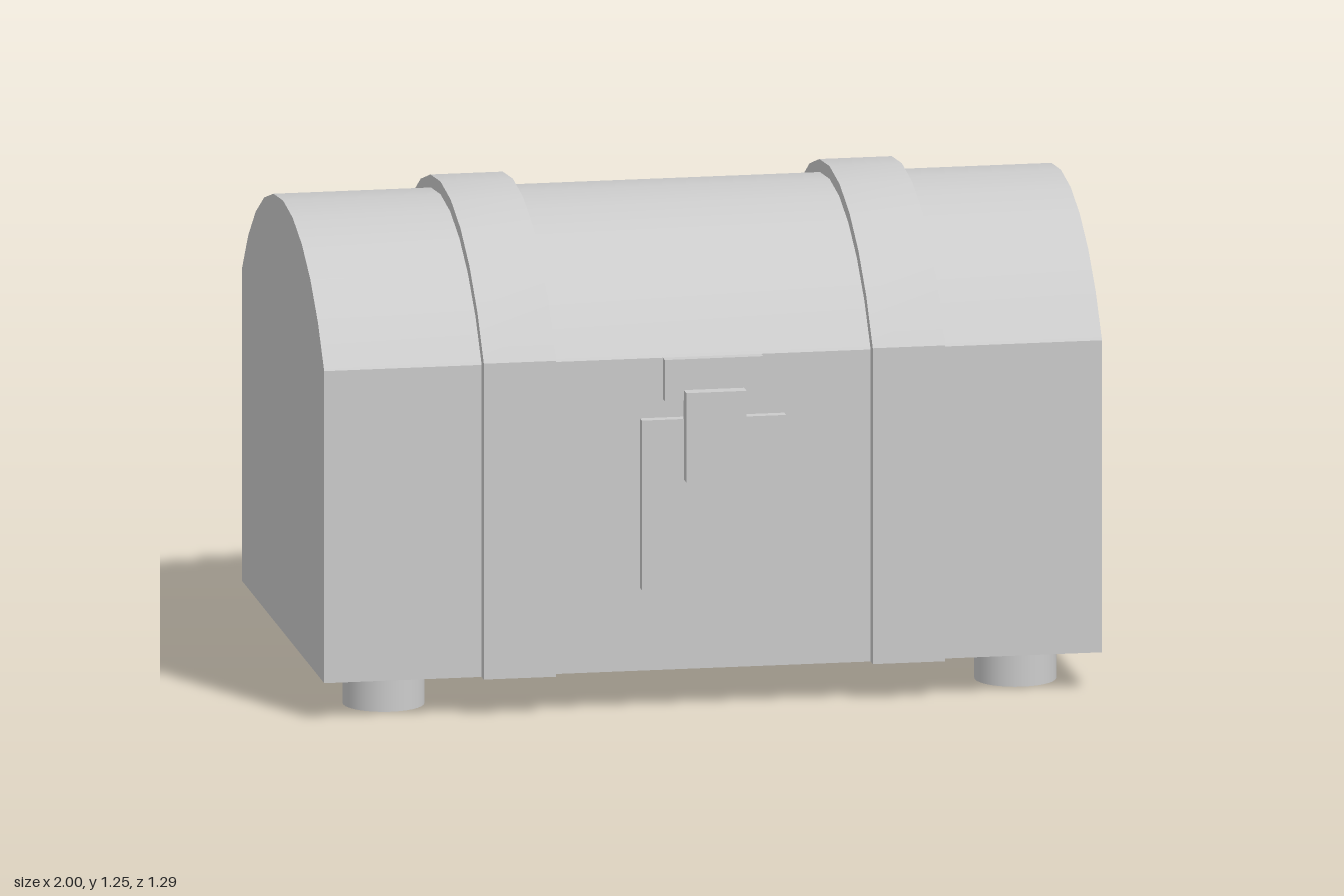
import * as THREE from 'three';
import { toCreasedNormals } from 'three/addons/utils/BufferGeometryUtils.js';

const BASE = 0.1;      // underside of the body
const MID_Z = -0.009;  // centre plane of the body

// Arch-shaped block: straight walls below, a shallow circular arc on top, extruded along x
function archGeometry(half, spring, top, width) {
  const rise = top - spring;
  const radius = (half * half + rise * rise) / (2 * rise);
  const sweep = Math.asin(half / radius);
  const points = [new THREE.Vector2(-half, BASE), new THREE.Vector2(half, BASE)];
  const steps = 10;
  for (let i = 0; i <= steps; i++) {
    const a = sweep * (1 - (2 * i) / steps);
    points.push(new THREE.Vector2(radius * Math.sin(a), top - radius + radius * Math.cos(a)));
  }
  const geometry = new THREE.ExtrudeGeometry(new THREE.Shape(points), { depth: width, bevelEnabled: false });
  geometry.translate(0, 0, -width / 2);
  geometry.rotateY(-Math.PI / 2);
  return toCreasedNormals(geometry, 0.5);
}

export function createModel() {
  const chest = new THREE.Group();
  chest.name = 'chest';
  const grey = new THREE.MeshStandardMaterial({ color: 0xcccccc });
  grey.name = 'light grey';

  function add(name, geometry, x, y, z) {
    const mesh = new THREE.Mesh(geometry, grey);
    mesh.name = name;
    mesh.position.set(x, y, z);
    chest.add(mesh);
    return mesh;
  }

  // Box given by its limits on each axis
  function plate(name, x0, x1, y0, y1, z0, z1) {
    add(name, new THREE.BoxGeometry(x1 - x0, y1 - y0, z1 - z0),
      (x0 + x1) / 2, (y0 + y1) / 2, (z0 + z1) / 2);
  }

  // Body with domed lid
  add('body', archGeometry(0.592, 0.91, 1.22, 2), 0, 0, MID_Z);

  // Straps with a hinge barrel at the back of each
  for (const [side, x] of [['right', -0.502], ['left', 0.498]]) {
    add(side + 'Strap', archGeometry(0.623, 0.92, 1.253, 0.186), x, 0, MID_Z);
    const hinge = add(side + 'Hinge', new THREE.CylinderGeometry(0.042, 0.042, 0.216, 24), x, 0.782, -0.601);
    hinge.rotation.z = Math.PI / 2;
  }

  // Four round feet
  for (const x of [-0.814, 0.81]) {
    for (const z of [0.397, -0.414]) {
      add((z > 0 ? 'front' : 'back') + (x > 0 ? 'Left' : 'Right') + 'Foot',
        new THREE.CylinderGeometry(0.104, 0.104, BASE, 32), x, BASE / 2, z);
    }
  }

  // Lock: back plate, lid plate and the latch across both
  plate('lockPlate', -0.188, 0.183, 0.315, 0.755, 0.57, 0.61);
  plate('lidPlate', -0.129, 0.124, 0.803, 0.91, 0.57, 0.61);
  plate('latch', -0.08, 0.075, 0.598, 0.83, 0.608, 0.646);

  return chest;
}
